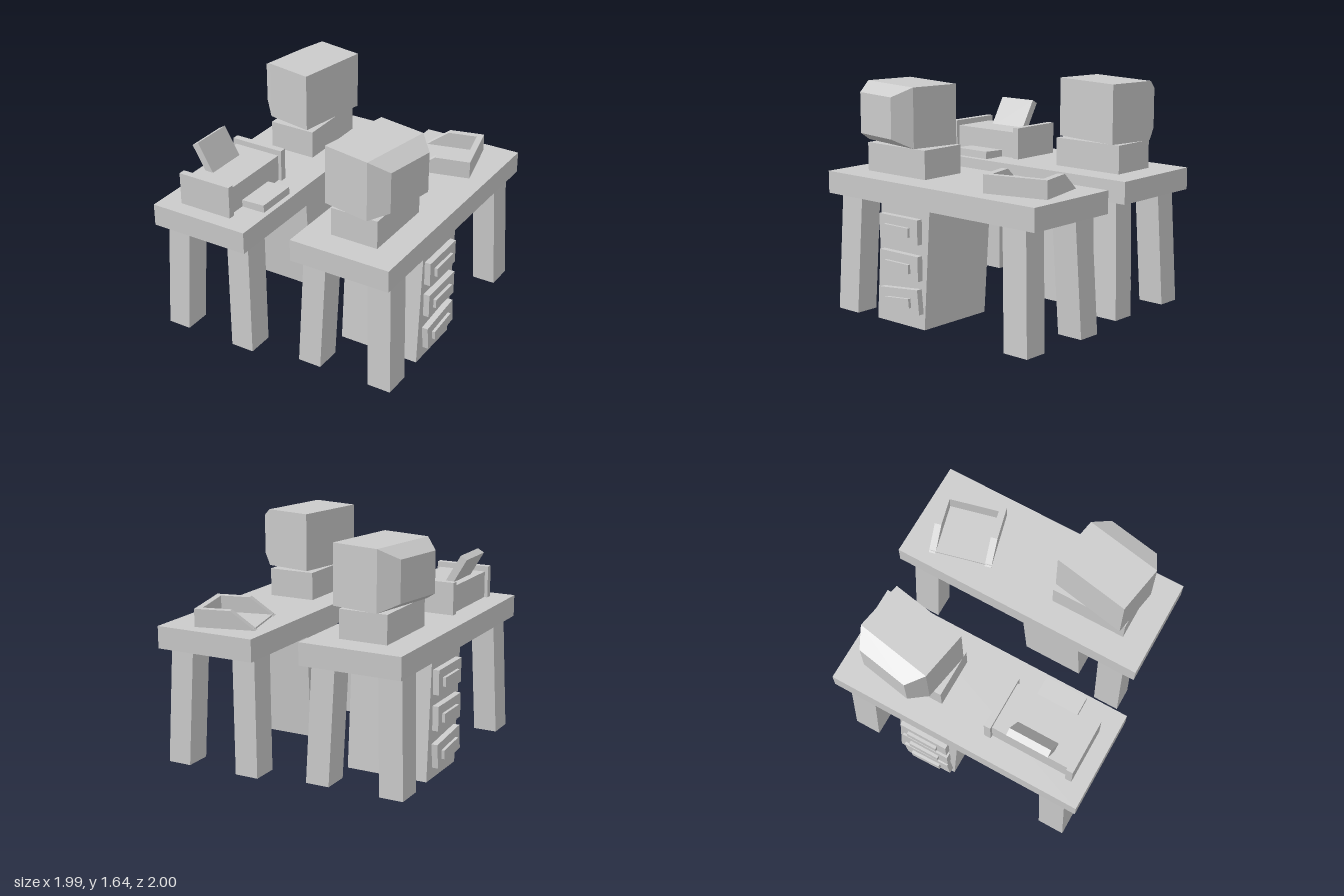
import * as THREE from 'three';

const material = new THREE.MeshStandardMaterial({ color: 0xcccccc, flatShading: true });
const YAW = -0.0875; // both desks stand slightly askew

function add(parent, name, geometry, x = 0, y = 0, z = 0) {
  const mesh = new THREE.Mesh(geometry, material);
  mesh.name = name;
  mesh.position.set(x, y, z);
  parent.add(mesh);
  return mesh;
}

function box(parent, name, w, h, d, x, y, z) {
  return add(parent, name, new THREE.BoxGeometry(w, h, d), x, y, z);
}

function group(parent, name, x, y, z, yaw) {
  const g = new THREE.Group();
  g.name = name;
  g.position.set(x, y, z);
  g.rotation.y = yaw;
  parent.add(g);
  return g;
}

// Box whose top is shifted sideways while top and bottom stay level
function leaningBox(w, h, d, dx, dz) {
  const geo = new THREE.BoxGeometry(w, h, d);
  const p = geo.attributes.position;
  for (let i = 0; i < p.count; i++) {
    if (p.getY(i) > 0) p.setXYZ(i, p.getX(i) + dx, p.getY(i), p.getZ(i) + dz);
  }
  geo.computeVertexNormals();
  return geo;
}

// Box narrowing towards +x
function taperedBox(w, h, d, scale) {
  const geo = new THREE.BoxGeometry(w, h, d);
  const p = geo.attributes.position;
  for (let i = 0; i < p.count; i++) {
    if (p.getX(i) > 0) p.setXYZ(i, p.getX(i), p.getY(i) * scale, p.getZ(i) * scale);
  }
  geo.computeVertexNormals();
  return geo;
}

// Desk with splayed legs, drawer cabinet and monitor
function buildWorkstation() {
  const station = new THREE.Group();
  const desk = group(station, 'desk', 0.533, 0, 0, YAW);
  box(desk, 'deskTop', 0.753, 0.16, 1.937, 0, 0.925, 0);
  for (const sx of [-1, 1]) {
    for (const sz of [-1, 1]) {
      add(desk, 'leg', leaningBox(0.175, 0.85, 0.2, -sx * 0.03, -sz * 0.035), sx * 0.278, 0.425, sz * 0.8);
    }
  }
  add(desk, 'cabinet', leaningBox(0.605, 0.85, 0.467, 0, -0.06), 0.048, 0.425, 0.273);

  // Drawers with raised handles, the lowest one hanging crooked
  [[0.69, 0], [0.435, 0], [0.183, 0.1]].forEach(([y, tilt]) => {
    const drawer = group(desk, 'drawer', 0.36, y, 0.24, 0);
    drawer.rotation.x = tilt;
    box(drawer, 'drawerFront', 0.07, 0.175, 0.37, 0, 0, 0);
    box(drawer, 'drawerHandle', 0.04, 0.065, 0.235, 0.037, -0.008, 0.005);
  });

  // Monitor turned on its stand
  box(desk, 'monitorStand', 0.355, 0.21, 0.57, -0.003, 1.105, 0.482);
  const monitor = group(station, 'monitor', 0.481, 1.4325, 0.5, -0.265);
  box(monitor, 'monitorNeck', 0.2, 0.03, 0.26, 0, -0.22, 0);
  box(monitor, 'monitorBody', 0.36, 0.425, 0.565, 0, 0, 0);
  add(monitor, 'monitorTaper', taperedBox(0.125, 0.425, 0.565, 0.685), 0.2425, 0, 0);
  return station;
}

// Paper tray with ramped side walls, open at one end
function buildPaperTray(parent) {
  const tray = group(parent, 'paperTray', 0.567, 1.005, -0.591, 0.155);
  box(tray, 'trayFloor', 0.42, 0.012, 0.45, 0.004, 0.006, 0);
  box(tray, 'trayEndWall', 0.045, 0.128, 0.47, 0.195, 0.064, 0);
  const side = new THREE.Shape([
    new THREE.Vector2(-0.2175, 0),
    new THREE.Vector2(0.2175, 0),
    new THREE.Vector2(0.2175, 0.128),
    new THREE.Vector2(-0.04, 0.128),
  ]);
  for (const z of [-0.235, 0.185]) {
    add(tray, 'traySideWall', new THREE.ExtrudeGeometry(side, { depth: 0.05, bevelEnabled: false }), 0, 0, z);
  }
}

// Printer with raised end plates, feed sheet and output slab
function buildPrinter(parent) {
  const printer = group(parent, 'printer', -0.598, 1, 0.508, YAW);
  box(printer, 'printerBody', 0.36, 0.2, 0.59, 0, 0.1, 0);
  for (const s of [-1, 1]) {
    box(printer, 'printerEndPlate', 0.41, 0.24, 0.05, 0, 0.12, s * 0.316);
  }
  const feed = box(printer, 'feedSheet', 0.055, 0.26, 0.315, -0.134, 0.274, 0);
  feed.rotation.z = 0.53;
  const output = box(printer, 'outputSlab', 0.18, 0.055, 0.315, 0.27, 0.031, 0);
  output.rotation.z = 0.04;
}

export function createModel() {
  const model = new THREE.Group();
  model.name = 'officeDesks';
  // Two identical workstations back to back, half a turn apart
  ['leftWorkstation', 'rightWorkstation'].forEach((name, i) => {
    const station = buildWorkstation();
    station.name = name;
    station.rotation.y = i * Math.PI;
    model.add(station);
  });
  buildPaperTray(model);
  buildPrinter(model);
  return model;
}
